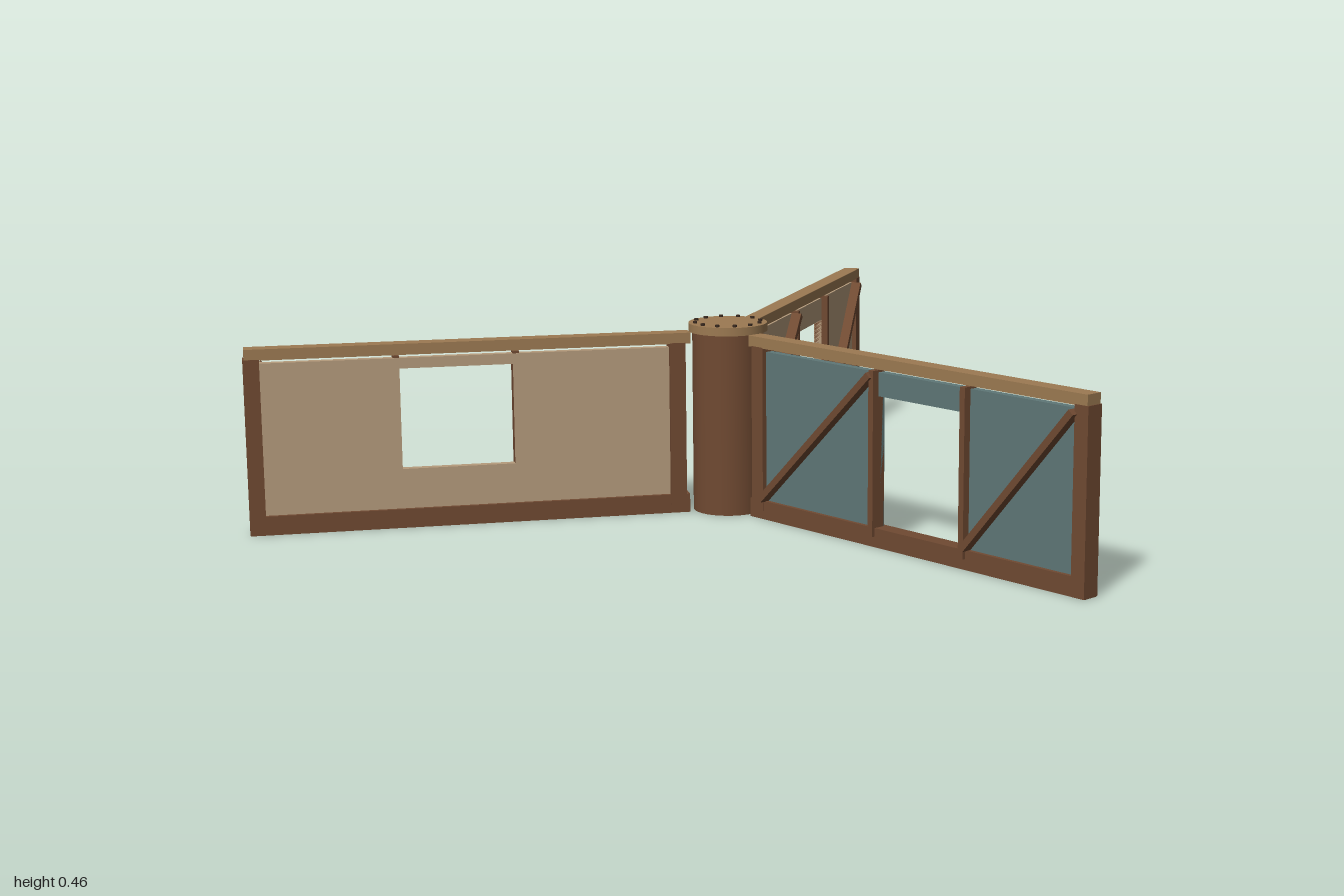
import * as THREE from 'three';

const mat = (name, color) => {
  const m = new THREE.MeshStandardMaterial({ color });
  m.name = name;
  return m;
};

export function createModel() {
  const darkWood = mat('dark wood', 0x704a32);
  const lightWood = mat('light wood', 0x9c7a52);
  const tealPaint = mat('teal paint', 0x5f7777);
  const tanPaint = mat('tan paint', 0xb59b7c);
  const iron = mat('dark iron', 0x3a2a20);

  const model = new THREE.Group();
  model.name = 'threeWingPartition';

  const add = (parent, name, geometry, material, x = 0, y = 0, z = 0) => {
    const mesh = new THREE.Mesh(geometry, material);
    mesh.name = name;
    mesh.position.set(x, y, z);
    parent.add(mesh);
    return mesh;
  };
  // Box given by its limits on each axis
  const box = (parent, name, material, x0, x1, y0, y1, z0, z1) =>
    add(parent, name, new THREE.BoxGeometry(x1 - x0, y1 - y0, z1 - z0), material,
      (x0 + x1) / 2, (y0 + y1) / 2, (z0 + z1) / 2);

  // Central column with a bolted cap
  const hub = new THREE.Group();
  hub.name = 'hub';
  hub.position.x = -0.28;
  model.add(hub);
  add(hub, 'column', new THREE.CylinderGeometry(0.086, 0.086, 0.44, 32), darkWood, 0, 0.22, 0);
  add(hub, 'cap', new THREE.CylinderGeometry(0.095, 0.095, 0.02, 32), lightWood, 0, 0.449, 0);
  for (let i = 0; i < 12; i++) {
    const a = (i / 12) * Math.PI * 2;
    add(hub, 'capBolt', new THREE.CylinderGeometry(0.005, 0.005, 0.006, 8), iron,
      Math.cos(a) * 0.08, 0.461, Math.sin(a) * 0.08);
  }

  // Wall board with a rectangular opening
  const wallGeometry = (y0, y1) => {
    const rect = (target, a, b, c, d) => target
      .moveTo(a, c).lineTo(b, c).lineTo(b, d).lineTo(a, d).closePath();
    const shape = rect(new THREE.Shape(), 0.12, 1.12, 0.02, 0.405);
    shape.holes.push(rect(new THREE.Path(), 0.52, 0.785, y0, y1));
    return new THREE.ExtrudeGeometry(shape, { depth: 0.02, bevelEnabled: false })
      .translate(0, 0, -0.01);
  };

  // Slanted brace between two points on the wall
  const brace = (parent, x0, y0, x1, y1) => {
    const mesh = add(parent, 'diagonalBrace',
      new THREE.BoxGeometry(Math.hypot(x1 - x0, y1 - y0), 0.016, 0.026), darkWood,
      (x0 + x1) / 2, (y0 + y1) / 2, 0.023);
    mesh.rotation.z = Math.atan2(y1 - y0, x1 - x0);
  };

  // Three wings: two with doorways, one with a window
  const wings = [
    { name: 'leftWing', paint: tealPaint, opening: [0.04, 0.35] },
    { name: 'rearWing', paint: tanPaint, opening: [0.04, 0.345] },
    { name: 'frontWing', paint: tanPaint, opening: [0.14, 0.38] },
  ];
  wings.forEach(({ name, paint, opening }, i) => {
    const wing = new THREE.Group();
    wing.name = name;
    wing.rotation.y = (i * Math.PI * 2) / 3;
    hub.add(wing);

    add(wing, 'wallBoard', wallGeometry(...opening), paint);
    box(wing, 'bottomBeam', darkWood, 0.1, 1.14, 0, 0.045, -0.02, 0.02);
    box(wing, 'topBeam', lightWood, 0.096, 1.138, 0.414, 0.44, -0.021, 0.021);
    box(wing, 'innerPost', darkWood, 0.108, 0.146, 0.02, 0.416, -0.022, 0.022);
    box(wing, 'outerPost', darkWood, 1.104, 1.141, 0.002, 0.416, -0.022, 0.022);
    // Slim posts either side of the opening
    for (const x of [0.505, 0.785]) {
      box(wing, 'openingPost', darkWood, x, x + 0.015, 0.025, 0.41, -0.009, 0.028);
    }
    brace(wing, 0.147, 0.05, 0.51, 0.4);
    brace(wing, 0.8, 0.05, 1.105, 0.4);
  });

  return model;
}
